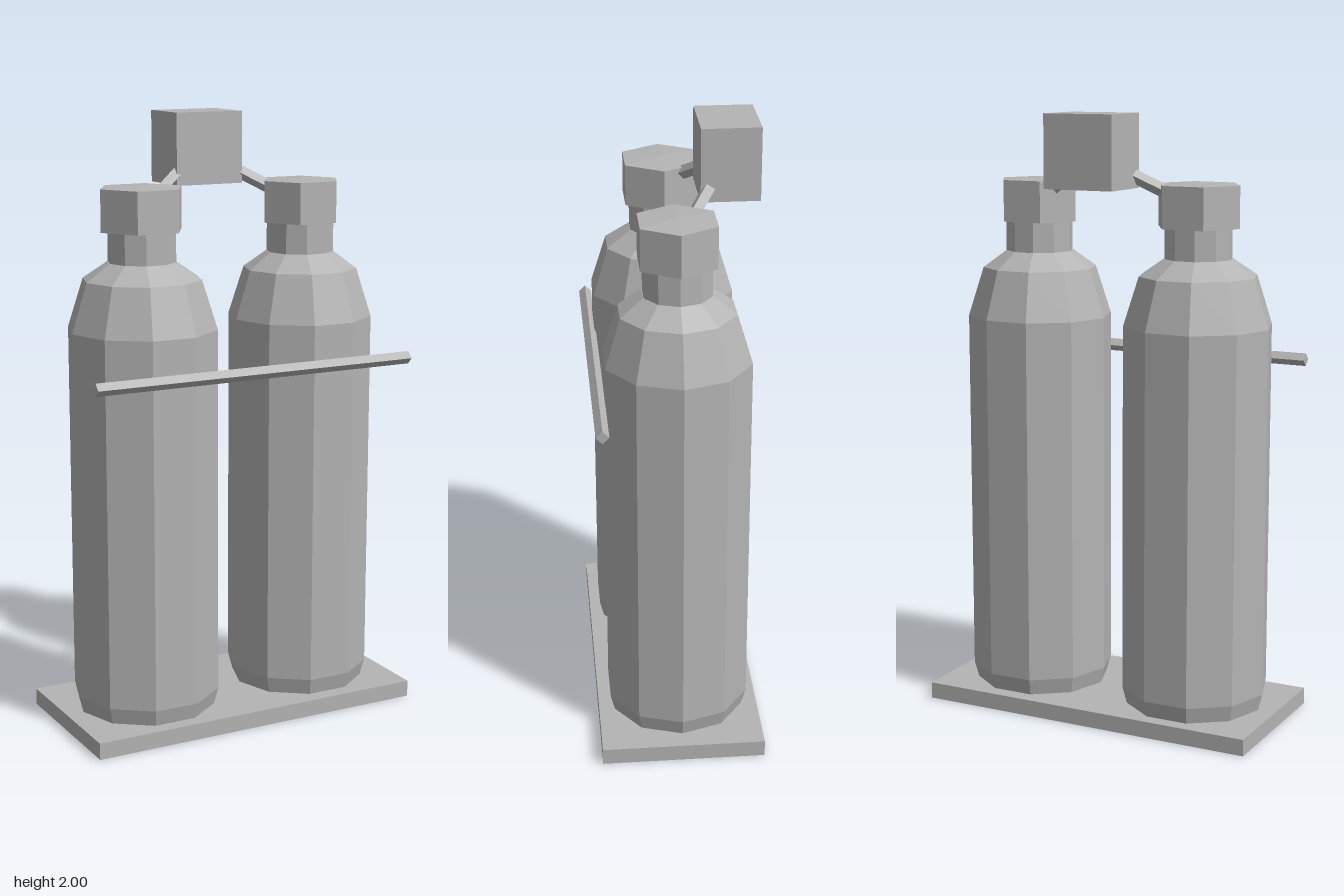
import * as THREE from 'three';

export function createModel() {
  const model = new THREE.Group();
  model.name = 'twinTanks';
  const grey = new THREE.MeshStandardMaterial({ color: 0xb4b4b4, flatShading: true });
  grey.name = 'plain grey';

  const add = (name, geometry, x = 0, y = 0, z = 0, parent = model) => {
    const mesh = new THREE.Mesh(geometry, grey);
    mesh.name = name;
    mesh.position.set(x, y, z);
    parent.add(mesh);
    return mesh;
  };

  // Faceted solid of revolution with a corner pointing along x
  const turned = (profile, sides) => new THREE.LatheGeometry(
    profile.map(([r, y]) => new THREE.Vector2(r, y)), sides, Math.PI / 2);

  // Square rod set on its corner, running between two points
  const rod = (name, from, to, radius) => {
    const a = new THREE.Vector3(...from), b = new THREE.Vector3(...to);
    const geometry = new THREE.CylinderGeometry(radius, radius, a.distanceTo(b), 4);
    geometry.rotateX(Math.PI / 2);
    const mesh = add(name, geometry);
    mesh.position.copy(a).lerp(b, 0.5);
    mesh.lookAt(b);
    return mesh;
  };

  // Base plate
  add('basePlate', new THREE.BoxGeometry(1.165, 0.055, 0.533), 0, 0.0275, 0.001);

  // Tanks, each with a neck and a hexagonal cap
  for (const [side, x, r, capR] of [['right', -0.292, 0.245, 0.142], ['left', 0.29, 0.24, 0.136]]) {
    const tank = new THREE.Group();
    tank.name = side + 'Tank';
    tank.position.x = x;
    model.add(tank);
    add(side + 'Body', turned([
      [0, 0.05], [r - 0.016, 0.05], [r, 0.11], [r, 1.325], [r - 0.051, 1.485], [0.113, 1.54], [0, 1.54],
    ], 10), 0, 0, 0, tank);
    add(side + 'Neck', turned([[0.111, 1.53], [0.111, 1.65]], 10), 0, 0, 0, tank);
    add(side + 'Cap', turned([[0, 1.64], [capR, 1.64], [capR, 1.776], [0, 1.784]], 6), 0, 0, 0, tank);
    // Pipe from the cap to the regulator box
    rod(side + 'Pipe', [x, 1.7, 0], [0, 1.87, -0.18], 0.022);
  }

  // Regulator box
  add('regulatorBox', new THREE.BoxGeometry(0.24, 0.235, 0.188), -0.002, 1.8825, -0.182);

  // Retaining bar across the front
  rod('retainingBar', [-0.57, 1.195, 0.249], [0.566, 1.195, 0.249], 0.021);

  return model;
}
